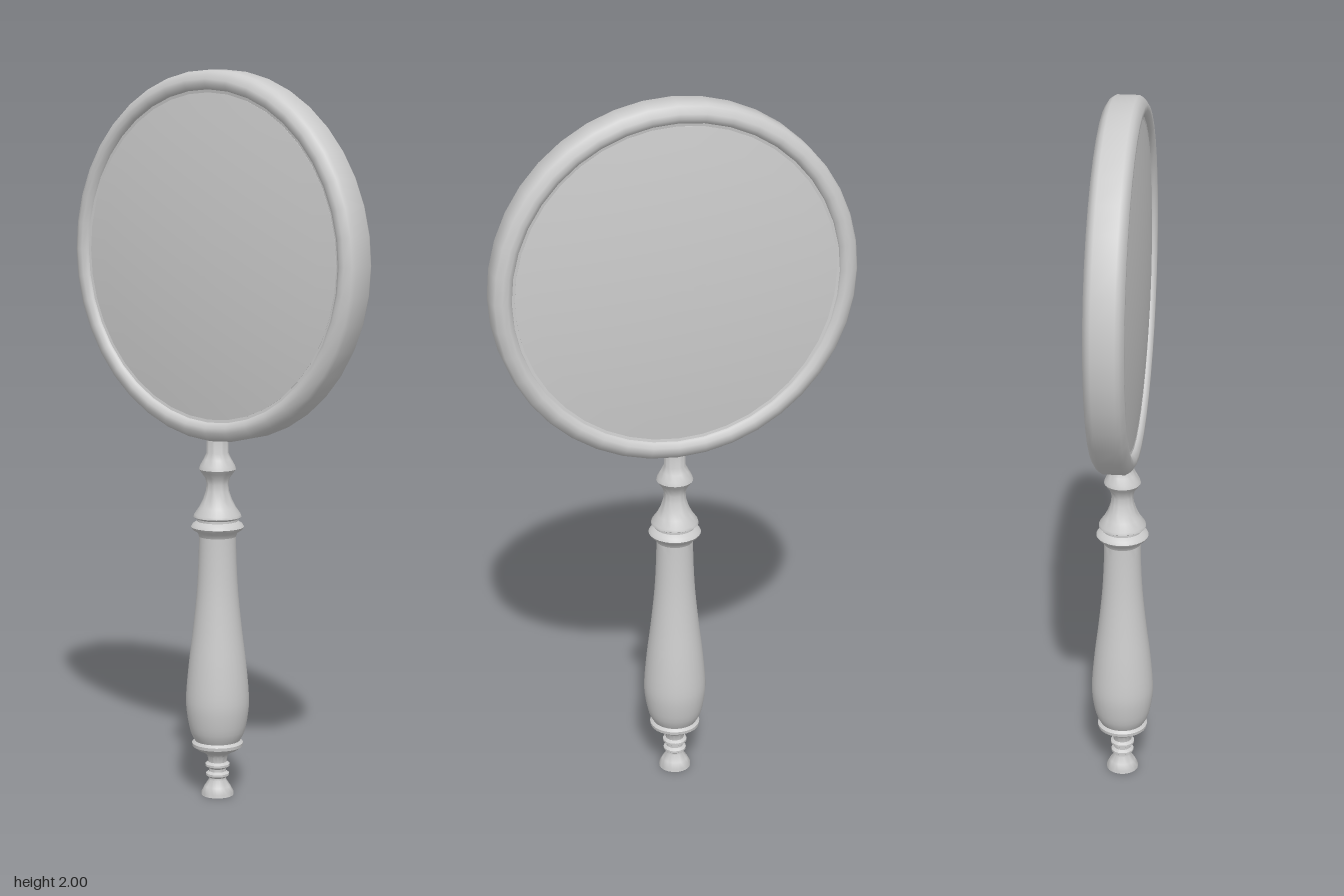
import * as THREE from 'three';
import { toCreasedNormals } from 'three/addons/utils/BufferGeometryUtils.js';

const grey = new THREE.MeshStandardMaterial({ color: 0xcccccc });
grey.name = 'grey';

// Revolves a list of [radius, height] points around y
function turned(name, points, segments, crease = 0.7) {
  const lathe = new THREE.LatheGeometry(points.map(([r, y]) => new THREE.Vector2(r, y)), segments);
  const mesh = new THREE.Mesh(toCreasedNormals(lathe, crease), grey);
  mesh.name = name;
  return mesh;
}

export function createModel() {
  const model = new THREE.Group();
  model.name = 'magnifyingGlass';

  // Head: turned around y, then tipped to face +z
  const head = new THREE.Group();
  head.name = 'head';
  head.position.y = 1.5;
  head.rotation.x = Math.PI / 2;

  // Closed frame section with bevelled outside and stepped inner lip
  const half = [[0.5, 0.03], [0.494, 0.04], [0.476, 0.052], [0.462, 0.052], [0.45, 0.044], [0.448, 0.038], [0.436, 0.036]];
  const lower = half.map(([r, y]) => [r, -y]).reverse();
  head.add(turned('frame', [...lower, ...half, lower[0]], 40, 0.8));

  // Biconvex lens
  const lens = [];
  for (let i = 0; i <= 8; i++) {
    const r = 0.44 * i / 8;
    lens.push([r, 0.062 - 0.128 * r * r]);
  }
  const under = lens.map(([r, y]) => [r, -y]);
  head.add(turned('lens', [...under, ...lens.reverse()], 40));
  model.add(head);

  // Finial with small beads at the foot
  model.add(turned('finial', [
    [0, 0], [0.045, 0], [0.045, 0.008], [0.036, 0.025], [0.024, 0.044], [0.024, 0.05],
    [0.032, 0.056], [0.032, 0.062], [0.024, 0.068], [0.024, 0.076], [0.034, 0.083],
    [0.034, 0.089], [0.026, 0.095], [0.028, 0.112], [0.038, 0.122], [0.055, 0.13],
    [0.07, 0.141], [0.071, 0.15], [0.064, 0.157], [0, 0.157],
  ], 28));

  // Swelling grip
  const grip = new THREE.SplineCurve([
    [0.062, 0.155], [0.076, 0.185], [0.086, 0.24], [0.087, 0.29], [0.079, 0.38],
    [0.068, 0.47], [0.057, 0.58], [0.052, 0.68], [0.051, 0.745],
  ].map(([r, y]) => new THREE.Vector2(r, y))).getPoints(24).map((p) => [p.x, p.y]);
  model.add(turned('grip', grip, 28));

  // Collar and neck leading into the frame
  model.add(turned('collar', [
    [0.05, 0.73], [0.055, 0.744], [0.068, 0.752], [0.073, 0.76], [0.068, 0.768],
    [0.056, 0.776], [0.056, 0.782], [0.066, 0.788], [0.064, 0.795], [0.05, 0.815],
    [0.04, 0.835], [0.032, 0.86], [0.03, 0.88], [0.034, 0.896], [0.044, 0.91],
    [0.051, 0.92], [0.048, 0.93], [0.038, 0.948], [0.03, 0.965], [0.03, 1.02],
  ], 28));

  return model;
}
